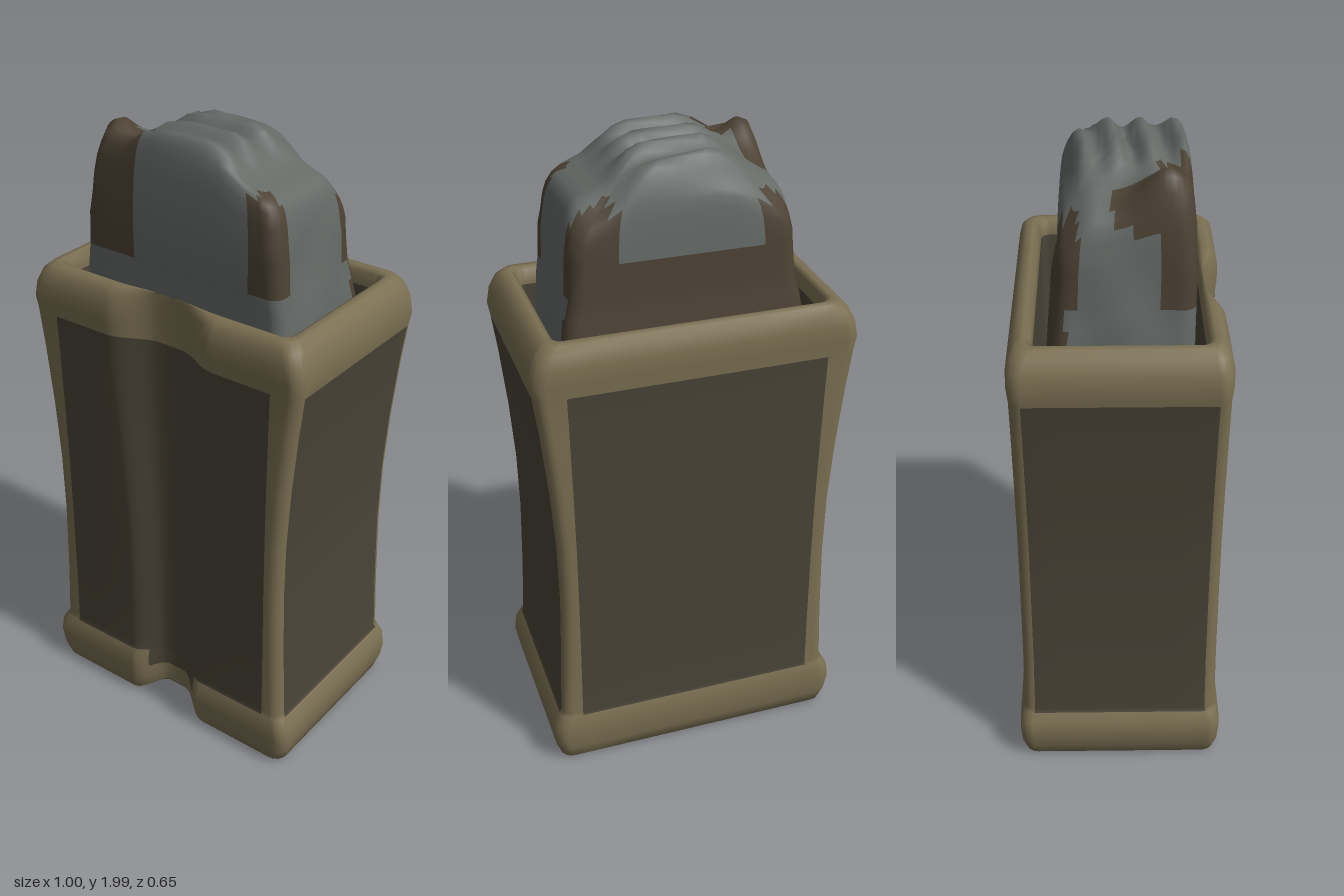
import * as THREE from 'three';

const mat = (name, color) => {
  const m = new THREE.MeshStandardMaterial({ color });
  m.name = name;
  return m;
};
const { lerp, smoothstep } = THREE.MathUtils;

// Piecewise linear lookup in a short list of [x, y] points
function curve(pts, x) {
  if (x <= pts[0][0]) return pts[0][1];
  for (let i = 1; i < pts.length; i++) {
    const [x0, y0] = pts[i - 1], [x1, y1] = pts[i];
    if (x <= x1) return lerp(y0, y1, (x - x0) / (x1 - x0));
  }
  return pts[pts.length - 1][1];
}

// Skin closed rings of points; colourOf(row, column, centre) picks the material
function skin(name, rings, wrapRows, materials, colourOf) {
  const n = rings[0].length, R = rings.length;
  const faces = materials.map(() => []);
  const mid = new THREE.Vector3();
  for (let i = 0; i < (wrapRows ? R : R - 1); i++) {
    for (let j = 0; j < n; j++) {
      const i2 = (i + 1) % R, j2 = (j + 1) % n;
      const a = i * n + j, b = i * n + j2, c = i2 * n + j2, d = i2 * n + j;
      mid.copy(rings[i][j]).add(rings[i][j2]).add(rings[i2][j2]).add(rings[i2][j]).multiplyScalar(0.25);
      faces[colourOf(i, j, mid)].push(a, b, c, a, c, d);
    }
  }
  const g = new THREE.BufferGeometry().setFromPoints(rings.flat());
  g.setIndex(faces.flat());
  let start = 0;
  faces.forEach((f, k) => { g.addGroup(start, f.length, k); start += f.length; });
  g.computeVertexNormals();
  const mesh = new THREE.Mesh(g, materials);
  mesh.name = name;
  return mesh;
}

// Rounded rectangle, starting on the +x side and turning towards the back.
// frontXs lists the points across the front from -x to +x.
function outline(hw, hd, r, backXs, frontXs, sideN) {
  const p = [];
  const corner = (cx, cz, a0) => {
    for (let k = 0; k <= 4; k++) {
      const a = a0 + k / 4 * Math.PI / 2;
      p.push({ x: cx + r * Math.cos(a), z: cz - r * Math.sin(a), part: k < 4 ? 'corner' : 'side' });
    }
  };
  const side = (s) => {
    for (let k = 1; k < sideN; k++) p.push({ x: s * hw, z: s * (hd - r) * (1 - 2 * k / sideN), part: 'side' });
  };
  side(1);
  corner(hw - r, -hd + r, 0);
  p[p.length - 1].part = 'back';
  for (const x of backXs) p.push({ x, z: -hd, part: 'back' });
  corner(-hw + r, -hd + r, Math.PI / 2);
  side(-1);
  corner(-hw + r, hd - r, Math.PI);
  p[p.length - 1].part = 'front';
  for (const x of frontXs) p.push({ x, z: hd, part: 'front' });
  corner(hw - r, hd - r, Math.PI * 1.5);
  return p;
}

// Open sleeve: waisted walls, thick rims and a channel down the front
function makeSleeve(trim, panel) {
  // [y, half width, half depth, corner radius]
  const rows = [
    [0.005, 0.445, 0.285, 0.04], [0.015, 0.465, 0.31, 0.04], [0.06, 0.48, 0.322, 0.04],
    [0.11, 0.488, 0.325, 0.04], [0.155, 0.482, 0.324, 0.04], [0.188, 0.462, 0.314, 0.035],
    [0.2, 0.456, 0.31, 0.035], [0.4, 0.447, 0.308, 0.035], [0.65, 0.44, 0.308, 0.035],
    [0.85, 0.443, 0.308, 0.035], [1.05, 0.456, 0.309, 0.035], [1.25, 0.476, 0.31, 0.035],
    [1.375, 0.492, 0.311, 0.035], [1.42, 0.5, 0.316, 0.04], [1.47, 0.492, 0.316, 0.045],
    [1.51, 0.474, 0.306, 0.045], [1.532, 0.45, 0.288, 0.04], [1.535, 0.43, 0.266, 0.035],
    [1.525, 0.415, 0.248, 0.03], [1.48, 0.412, 0.244, 0.03], [1.0, 0.411, 0.244, 0.03],
    [0.3, 0.411, 0.244, 0.03], [0.1, 0.411, 0.244, 0.03], [0.015, 0.418, 0.25, 0.03],
  ];
  const fr = [-1, -0.88, -0.76, -0.64, -0.52, -0.4, -0.25, 0, 0.25, 0.4, 0.52, 0.64, 0.76, 0.88, 1];
  let parts, dips;
  const rings = rows.map(([y, hw, hd, r]) => {
    const edge = Math.min(0.3 + 0.2 * hw, hw - r - 0.004);
    const g = lerp(0.145, 0.2, smoothstep(y, 0.6, 1.5));
    const xs = [-edge, -0.3, ...fr.map((f) => f * g), 0.3, edge];
    const pts = outline(hw, hd, r, [edge, 0.2, 0, -0.2, -edge], xs, 6);
    parts = pts.map((p) => p.part);
    dips = pts.map((p) => p.part === 'front' ? 1 - smoothstep(Math.abs(p.x) / g, 0.2, 1) : 0);
    return pts.map((p, j) => new THREE.Vector3(
      p.x,
      y + 0.06 * dips[j] * Math.max(0, 1 - y / 0.2),
      p.z - Math.max(0, hd - 0.254) * dips[j]));
  });
  return skin('sleeve', rings, true, [trim, panel], (i, j, m) => {
    const y0 = rows[i][0];
    if (i >= 19 && i < 22) return 1;                      // inner walls
    if (i >= 17 || y0 >= 1.37) return 0;                  // upper rim
    const channel = parts[j] === 'front' && dips[j] > 0.25;
    if (y0 < (channel ? 0.1 : 0.185)) return 0;           // lower rim
    if (parts[j] === 'corner') return 0;
    if (parts[j] === 'side') return 1;
    return Math.abs(m.x) < 0.3 + 0.2 * 0.45 + 0.005 ? 1 : 0;
  });
}

// Height of the lumpy crown
function crown(x, z) {
  let h = curve([[-0.36, 1.82], [-0.26, 1.88], [-0.17, 1.945], [-0.1, 1.975], [0.08, 1.975],
    [0.14, 1.96], [0.2, 1.905], [0.3, 1.865], [0.36, 1.83]], x);
  h += 0.11 * Math.exp(-(((x + 0.28) / 0.06) ** 2) - (((z - 0.13) / 0.09) ** 2));
  h -= 0.07 * smoothstep(-z, 0.07, 0.17);
  const fold = 1 - smoothstep(Math.abs(x + 0.01), 0.1, 0.2);
  h += fold * 0.02 * Math.cos((z + 0.02 + 0.1 * x) * Math.PI * 2 / 0.095);
  return Math.min(h, 2);
}

// Worn core standing inside the sleeve
function makeCore(stone, patch) {
  // [y, half width, front z, back z]
  const walls = [[0.1, 0.36, 0.2, -0.2], [0.13, 0.375, 0.21, -0.215], [0.8, 0.38, 0.212, -0.218],
    [1.4, 0.378, 0.213, -0.212], [1.54, 0.365, 0.213, -0.185], [1.6, 0.353, 0.214, -0.18], [1.7, 0.344, 0.215, -0.176]];
  // Above the walls: [share of the crown height, scale towards the centre]
  const top = [[0.35, 0.99], [0.65, 0.97], [0.85, 0.94], [0.95, 0.9], [1, 0.85], [1, 0.77], [1, 0.68],
    [1, 0.58], [1, 0.48], [1, 0.38], [1, 0.28], [1, 0.18], [1, 0.09], [1, 0]];
  const frontXs = [-0.23, -0.16, -0.1, -0.05, 0, 0.05, 0.1, 0.15, 0.2, 0.25];
  const backXs = [0.25, 0.2, 0.15, 0.1, 0.05, 0, -0.05, -0.1, -0.16, -0.24];
  let parts;
  const base = (hw, f, b) => {
    const pts = outline(hw, (f - b) / 2, 0.045, backXs, frontXs, 16);
    parts = pts.map((p) => p.part);
    return pts.map((p) => ({ x: p.x, z: p.z + (f + b) / 2 }));
  };
  const rings = walls.map(([y, hw, f, b]) => base(hw, f, b).map((p) => {
    const wobble = y > 0.2 ? 0.006 * Math.sin(p.z * 25 + y * 9) * Math.sign(p.x) : 0;
    return new THREE.Vector3(p.x + (Math.abs(p.x) > 0.3 ? wobble : 0), y, p.z);
  }));
  rings.unshift(rings[0].map(() => new THREE.Vector3(0, 0.1, 0)));
  for (const [h, s] of top) {
    rings.push(base(0.342, 0.214, -0.174).map((p) => {
      const x = p.x * s, z = 0.02 + (p.z - 0.02) * s;
      return new THREE.Vector3(x, lerp(1.7, crown(x, z), h), z);
    }));
  }
  return skin('core', rings, false, [stone, patch], (i, j, m) => {
    const { x, y, z } = m;
    if (i === 0) return x < -0.2 ? 0 : 1;                                       // underside
    if (y < 1.7 && z < -0.15) return 1;                                         // lower back
    if (y < 1.6) return 0;
    if (x < -0.155 && z > 0.105) return 1;                                      // front corners
    if (x < -0.24 && z > -0.02 && y > 1.82) return 1;
    if (x > 0.25 && z > 0.145) return 1;
    if (z < -0.112 && (x < -0.235 || x > 0.205)) return 1;                      // back corners
    return 0;
  });
}

export function createModel() {
  const group = new THREE.Group();
  group.name = 'sleevedBlock';
  const trim = mat('tan trim', 0x7a6f52);
  const panel = mat('dark olive panel', 0x4a4437);
  const stone = mat('grey stone', 0x656a67);
  const patch = mat('brown patch', 0x4c4234);
  group.add(makeSleeve(trim, panel), makeCore(stone, patch));
  return group;
}
